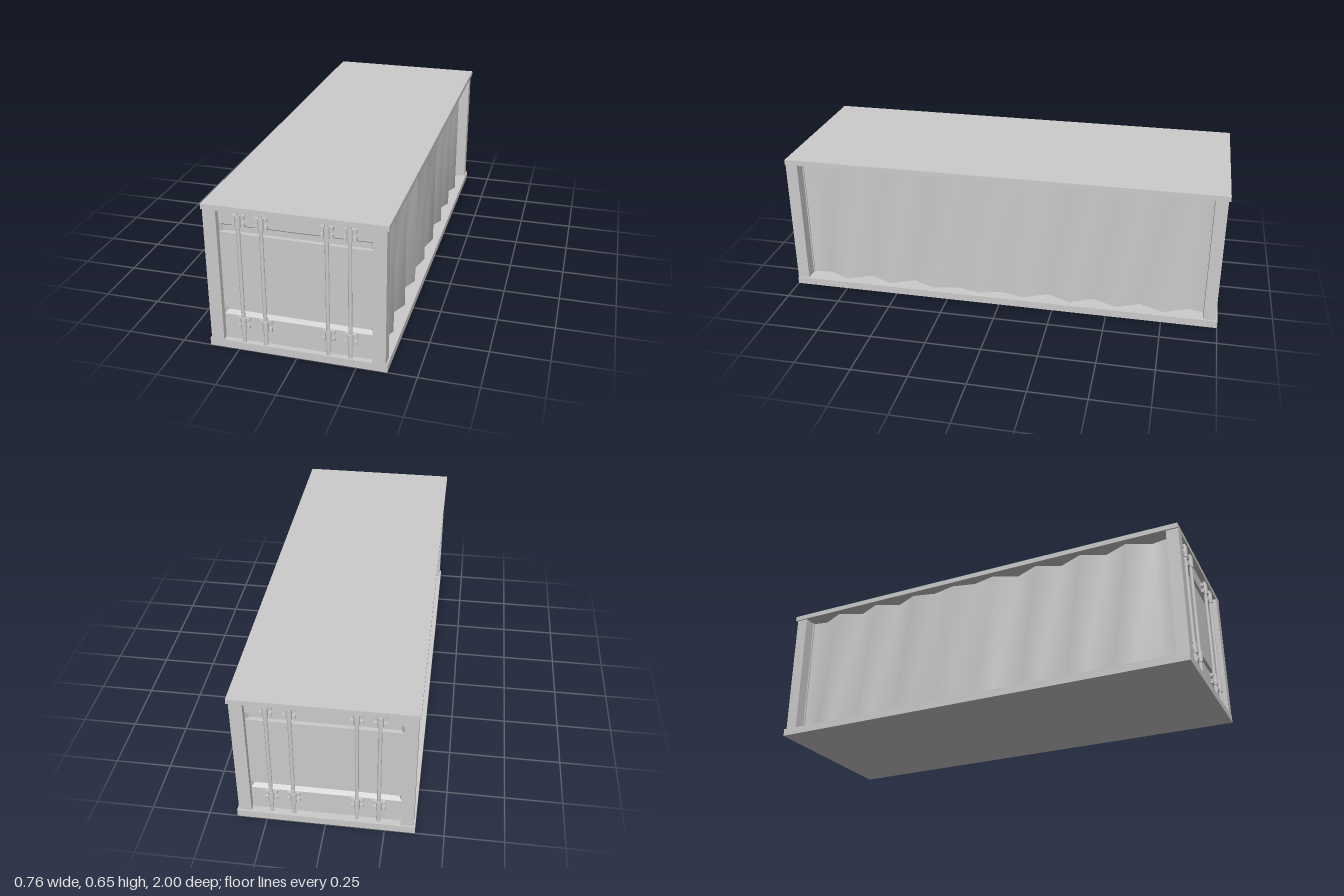
import * as THREE from 'three';

const material = new THREE.MeshStandardMaterial({ color: 0xcccccc });
const wallMaterial = new THREE.MeshStandardMaterial({ color: 0xcccccc, side: THREE.DoubleSide });

function add(parent, name, geometry, x = 0, y = 0, z = 0, mat = material) {
  const mesh = new THREE.Mesh(geometry, mat);
  mesh.name = name;
  mesh.position.set(x, y, z);
  parent.add(mesh);
  return mesh;
}

// Box given by its limits on each axis
function block(parent, name, [x0, x1], [y0, y1], [z0, z1]) {
  return add(parent, name, new THREE.BoxGeometry(x1 - x0, y1 - y0, z1 - z0),
    (x0 + x1) / 2, (y0 + y1) / 2, (z0 + z1) / 2);
}

const TOP = 0.627, BOTTOM = 0.034, INNER = 0.316;

// Door leaf profile in (z, y) with two horizontal grooves, extruded across the width
function doorPanel() {
  const face = 0.975, deep = 0.957;
  const profile = [[0.94, BOTTOM], [face, BOTTOM], [face, 0.148], [deep, 0.161], [deep, 0.181], [face, 0.181],
    [face, 0.525], [deep, 0.525], [deep, 0.55], [face, 0.562], [face, TOP], [0.94, TOP]];
  const shape = new THREE.Shape(profile.map(([z, y]) => new THREE.Vector2(z, y)));
  const geo = new THREE.ExtrudeGeometry(shape, { depth: 2 * INNER, bevelEnabled: false });
  return geo.rotateY(-Math.PI / 2).translate(INNER, 0, 0);
}

// Slanted end of a groove, a triangle in plan
function grooveEnd(side, height) {
  const shape = new THREE.Shape([[side * INNER, -0.975], [side * INNER, -0.957], [side * 0.304, -0.957]]
    .map(([x, y]) => new THREE.Vector2(x, y)));
  return new THREE.ExtrudeGeometry(shape, { depth: height, bevelEnabled: false }).rotateX(-Math.PI / 2);
}

// Vertical locking bar with sleeves, plates and bolts
function lockingBar(x) {
  const bar = new THREE.Group();
  bar.name = 'lockingBar';
  bar.position.set(x, 0, 0.987);
  add(bar, 'rod', new THREE.CylinderGeometry(0.008, 0.008, TOP - BOTTOM, 16), 0, (TOP + BOTTOM) / 2, 0);
  for (const y of [0.121, 0.587]) {
    add(bar, 'sleeve', new THREE.CylinderGeometry(0.0125, 0.0125, 0.052, 16), 0, y, 0);
    for (const dy of [-0.0165, 0.0165]) {
      add(bar, 'bracketPlate', new THREE.BoxGeometry(0.052, 0.017, 0.01), 0, y + dy, -0.007);
      for (const dx of [-0.019, 0.019]) {
        const bolt = add(bar, 'bolt', new THREE.CylinderGeometry(0.004, 0.004, 0.005, 8), dx, y + dy, 0);
        bolt.rotation.x = Math.PI / 2;
      }
    }
  }
  return bar;
}

// Complete door end, facing +z
function doorEnd(name) {
  const end = new THREE.Group();
  end.name = name;
  add(end, 'doorPanel', doorPanel());
  for (const side of [-1, 1]) {
    block(end, 'cornerPost', side > 0 ? [INNER, 0.371] : [-0.371, -INNER], [0.03, 0.63], [0.945, 1]);
    add(end, 'grooveEnd', grooveEnd(side, 0.033), 0, 0.148, 0);
    add(end, 'grooveEnd', grooveEnd(side, 0.037), 0, 0.525, 0);
  }
  for (const x of [-0.23, -0.135, 0.131, 0.223]) end.add(lockingBar(x));
  return end;
}

// Zigzag side wall: ridges and valleys alternate, with shallower folds mid-length
function sideWall(side) {
  const count = 16, ridge = 0.346, valley = 0.296, shallow = 0.32;
  const pts = [[-0.95, 0.312]];
  for (let i = 0; i <= count; i++) {
    const z = -0.865 + i * 1.73 / count;
    const x = i % 2 ? ridge : (i === 6 || i === 8 ? shallow : valley);
    pts.push([z, x]);
  }
  pts.push([0.95, 0.312]);
  const geo = new THREE.PlaneGeometry(1, TOP - BOTTOM + 0.004, pts.length - 1, 1);
  const pos = geo.attributes.position;
  for (let i = 0; i < pos.count; i++) {
    const [z, x] = pts[i % pts.length];
    pos.setXYZ(i, side * x, pos.getY(i) + (TOP + BOTTOM) / 2, -side * z);
  }
  geo.computeVertexNormals();
  return geo;
}

export function createModel() {
  const model = new THREE.Group();
  model.name = 'shippingContainer';

  // Floor and roof slabs
  block(model, 'floor', [-0.378, 0.378], [0, BOTTOM], [-1, 1]);
  block(model, 'roof', [-0.378, 0.378], [TOP, 0.65], [-1, 1]);

  // Corrugated sides
  add(model, 'rightWall', sideWall(-1), 0, 0, 0, wallMaterial);
  add(model, 'leftWall', sideWall(1), 0, 0, 0, wallMaterial);

  // Doors at both ends, the rear set slightly inward
  model.add(doorEnd('frontDoors'));
  const rear = doorEnd('rearDoors');
  rear.rotation.y = Math.PI;
  rear.position.z = 0.008;
  model.add(rear);
  return model;
}
